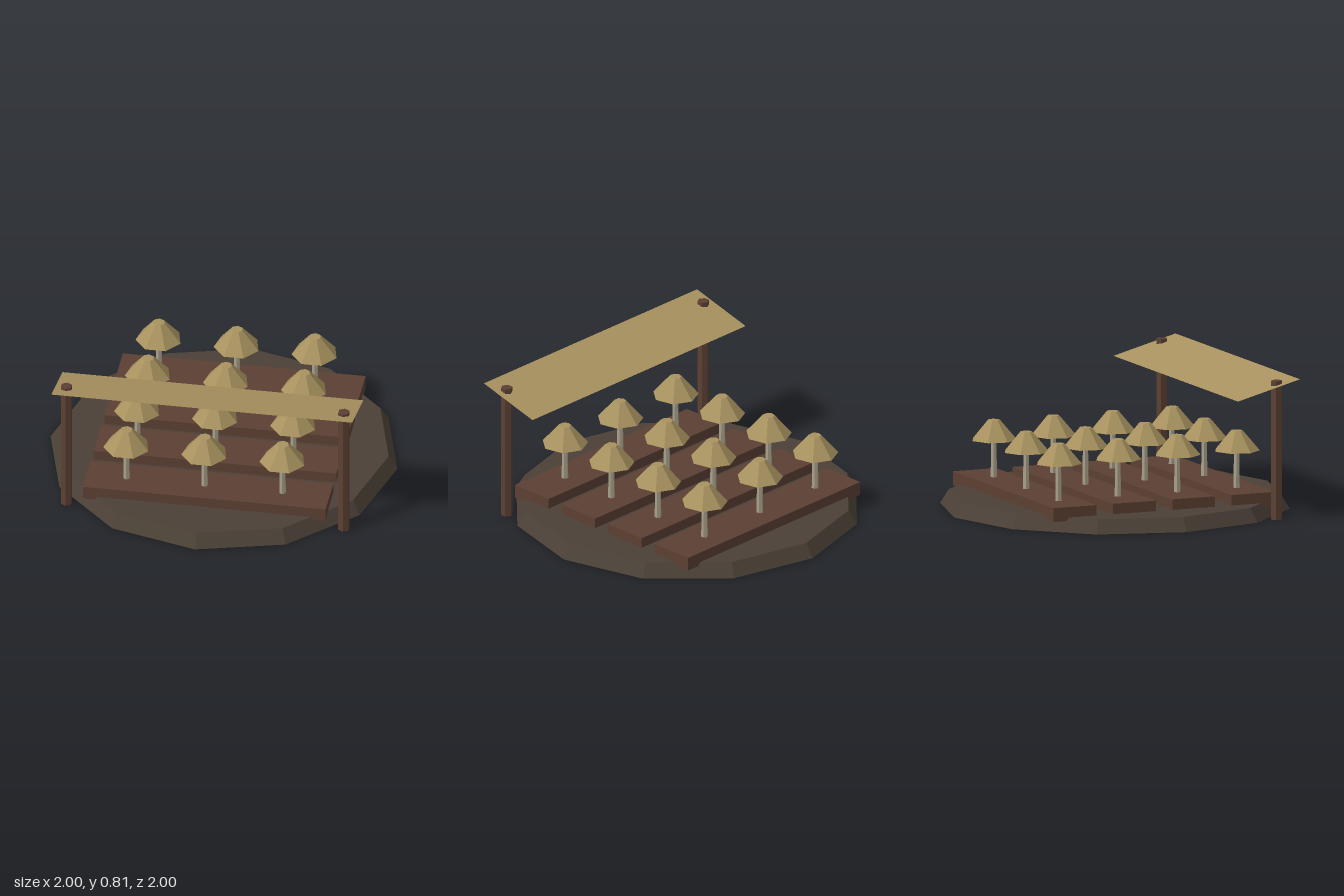
import * as THREE from 'three';

const mat = (name, color, side = THREE.FrontSide) => {
  const m = new THREE.MeshStandardMaterial({ color, flatShading: true, side });
  m.name = name;
  return m;
};

export function createModel() {
  const group = new THREE.Group();
  const earth = mat('dark earth', 0x4a4036);
  const wood = mat('brown wood', 0x5c4033);
  const straw = mat('straw tan', 0xa8925f, THREE.DoubleSide);
  const pale = mat('pale stem', 0xa8a08a);

  const add = (parent, name, geometry, material, x, y, z) => {
    const mesh = new THREE.Mesh(geometry, material);
    mesh.name = name;
    mesh.position.set(x, y, z);
    parent.add(mesh);
    return mesh;
  };

  // Twelve-sided mound
  add(group, 'groundMound', new THREE.CylinderGeometry(0.95, 1, 0.08, 12), earth, 0, 0.04, 0);

  // Four planting beds, each with three mushrooms
  const bedGeo = new THREE.BoxGeometry(1.4, 0.08, 0.267);
  const stemGeo = new THREE.CylinderGeometry(0.016, 0.02, 0.24, 6);
  const capGeo = new THREE.CylinderGeometry(0.035, 0.133, 0.115, 7).rotateY(Math.PI);
  for (let row = 0; row < 4; row++) {
    const z = -0.562 + row * 0.37;
    add(group, 'plantingBed', bedGeo, wood, 0, 0.1, z);
    for (const x of [-0.47, -0.02, 0.43]) {
      const mushroom = new THREE.Group();
      mushroom.name = 'mushroom';
      mushroom.position.set(x, 0.14, z);
      add(mushroom, 'stem', stemGeo, pale, 0, 0.12, 0);
      add(mushroom, 'cap', capGeo, straw, 0, 0.272, 0);
      group.add(mushroom);
    }
  }

  // Posts poke through the slanted awning
  const postGeo = new THREE.CylinderGeometry(0.034, 0.034, 0.8, 6);
  for (const side of [-1, 1]) add(group, 'awningPost', postGeo, wood, side * 0.8, 0.4, 0.65);

  // Thin awning, higher at the front edge
  const awningGeo = new THREE.PlaneGeometry(1.735, 0.4).rotateX(-Math.PI / 2);
  add(group, 'awning', awningGeo, straw, 0, 0.758, 0.572).rotation.x = -0.26;

  return group;
}
